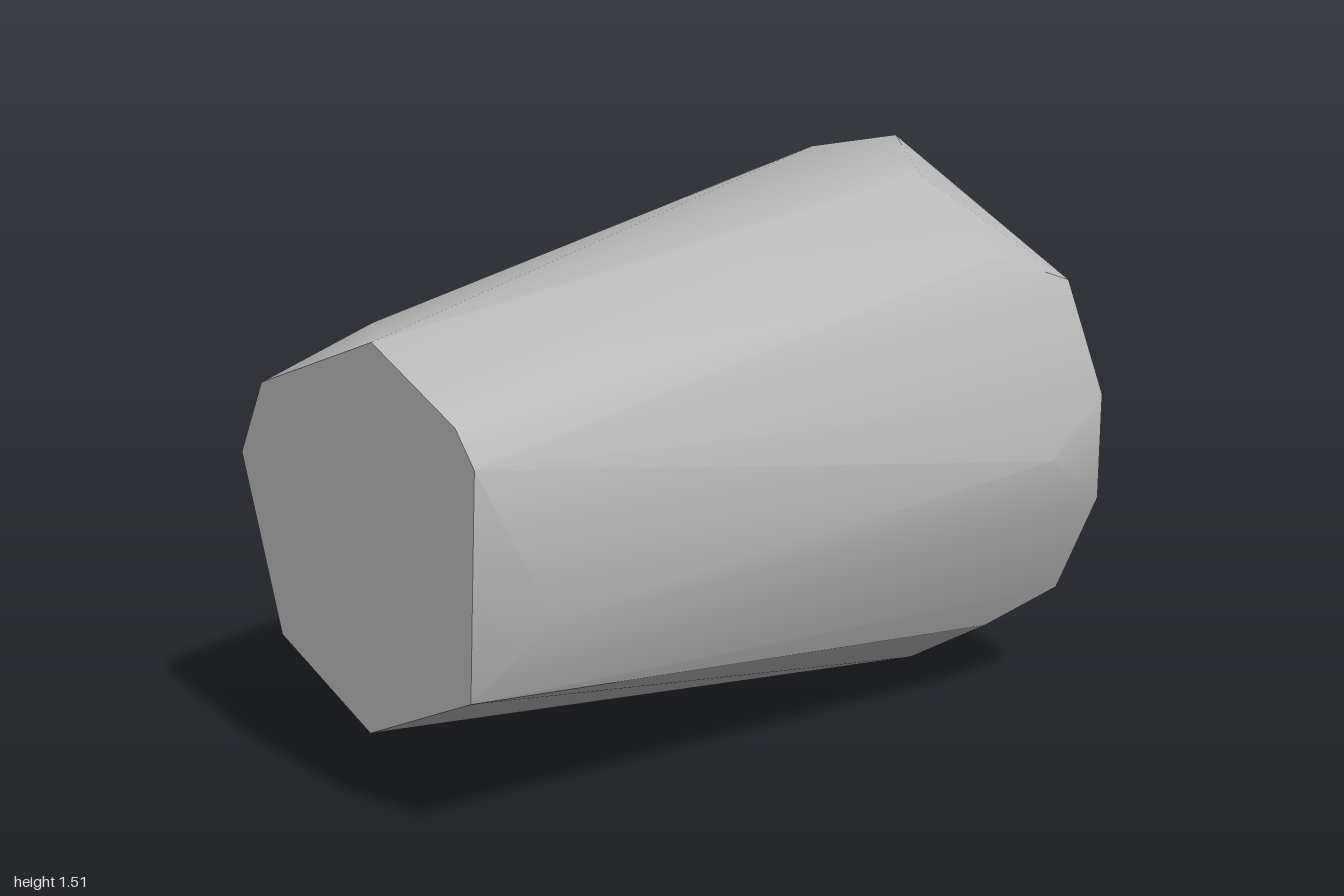
import * as THREE from 'three';
import { toCreasedNormals } from 'three/addons/utils/BufferGeometryUtils.js';
import { ConvexGeometry } from 'three/addons/geometries/ConvexGeometry.js';

export function createModel() {
  const group = new THREE.Group();
  group.name = 'taperedBlock';
  const grey = new THREE.MeshStandardMaterial({ color: 0xb8b8b8 });
  grey.name = 'plain grey';

  const ring = (z, corners) => corners.map(([x, y]) => new THREE.Vector3(x, y, z));

  const points = [
    // small front face
    ...ring(1, [[0.05, 1.28], [0.37, 1.13], [0.44, 1.04], [0.41, 0.43],
      [0, 0.23], [-0.37, 0.4], [-0.52, 0.87], [-0.42, 1.08]]),
    // corners just behind the front face
    ...ring(0.81, [[0.51, 0.63], [-0.19, 1.25]]),
    // widest ring, just ahead of the back
    ...ring(-0.78, [[0.24, 1.47], [0.53, 1.29], [0.75, 0.755], [0.53, 0.22],
      [0.25, 0.045], [-0.2, 0.03], [-0.44, 0.14], [-0.56, 0.25], [-0.71, 0.5],
      [-0.755, 0.83], [-0.67, 1.11], [-0.41, 1.39], [-0.18, 1.49]]),
    // large back face
    ...ring(-1, [[0.6, 1.2], [0.735, 0.9], [0.735, 0.6], [0.6, 0.3], [0.07, 0],
      [-0.57, 0.28], [-0.735, 0.64], [-0.745, 0.9], [-0.52, 1.28], [-0.06, 1.51]]),
  ];

  // faceted hull, softened across shallow edges
  const body = new THREE.Mesh(toCreasedNormals(new ConvexGeometry(points), Math.PI / 6), grey);
  body.name = 'body';
  group.add(body);
  return group;
}
